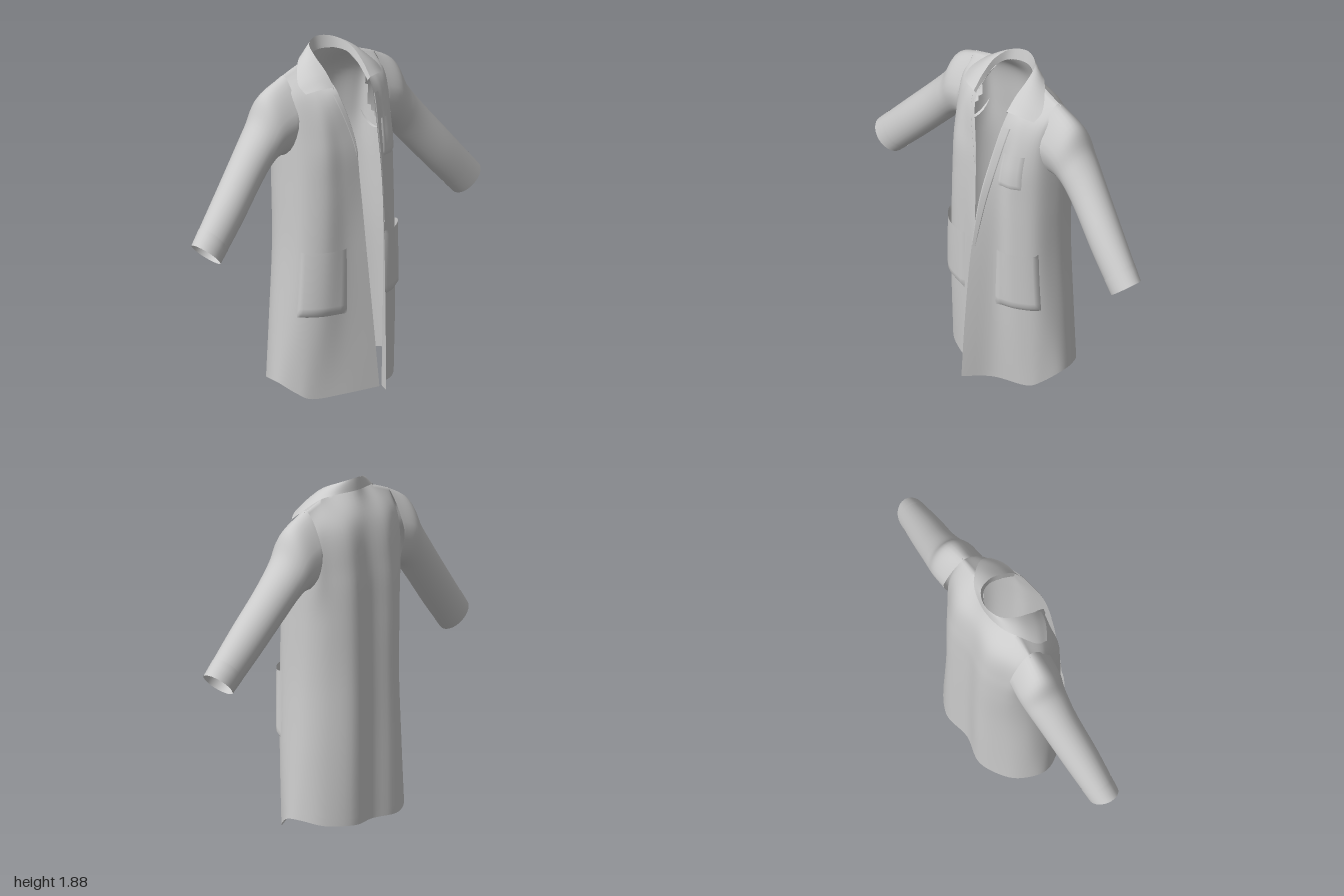
import * as THREE from 'three';
import { mergeVertices } from 'three/addons/utils/BufferGeometryUtils.js';

const V = (x, y, z) => new THREE.Vector3(x, y, z);
const curve = (pts) => new THREE.CatmullRomCurve3(pts, false, 'catmullrom', 0.5);
const cloth = new THREE.MeshStandardMaterial({ color: 0xcccccc, side: THREE.DoubleSide });

// Smooth sheet from a function f(s, t), s and t in 0..1, open where hole(s, t) is true
function sheet(name, n, m, f, hole = () => false) {
  const pos = [], idx = [];
  for (let j = 0; j <= m; j++)
    for (let i = 0; i <= n; i++) pos.push(...f(i / n, j / m).toArray());
  for (let j = 0; j < m; j++)
    for (let i = 0; i < n; i++) {
      if (hole((i + 0.5) / n, (j + 0.5) / m)) continue;
      const a = j * (n + 1) + i, b = a + n + 1;
      idx.push(a, b, a + 1, a + 1, b, b + 1);
    }
  let g = new THREE.BufferGeometry();
  g.setAttribute('position', new THREE.Float32BufferAttribute(pos, 3));
  g.setIndex(idx);
  g = mergeVertices(g, 1e-5);
  g.computeVertexNormals();
  const mesh = new THREE.Mesh(g, cloth);
  mesh.name = name;
  return mesh;
}

// Vertical cloth lines from hem to shoulder, [x, y, z], centre back to front
const centreBack = [[0, .05, -.29], [0, .4, -.29], [0, .8, -.29], [0, 1.15, -.285], [0, 1.4, -.275], [0, 1.64, -.24], [0, 1.81, -.17]];
const sideLines = [
  [[.16, .05, -.315], [.155, .4, -.315], [.15, .8, -.31], [.15, 1.15, -.305], [.15, 1.4, -.29], [.15, 1.64, -.245], [.13, 1.805, -.11]],
  [[.31, .06, -.235], [.29, .4, -.235], [.27, .8, -.235], [.27, 1.15, -.24], [.27, 1.4, -.235], [.27, 1.64, -.2], [.21, 1.785, -.11]],
  [[.38, .085, -.14], [.36, .4, -.14], [.335, .8, -.14], [.33, 1.15, -.155], [.335, 1.4, -.18], [.335, 1.61, -.165], [.325, 1.745, -.11]],
  [[.395, .085, -.05], [.37, .4, -.04], [.345, .8, -.04], [.34, 1.15, -.05], [.34, 1.4, -.06], [.335, 1.61, -.08], [.325, 1.745, -.11]],
  [[.345, .035, .035], [.335, .4, .055], [.32, .8, .065], [.315, 1.15, .06], [.315, 1.4, .045], [.325, 1.635, -.005], [.325, 1.745, -.11]],
  [[.28, .002, .09], [.25, .4, .125], [.235, .8, .14], [.23, 1.15, .14], [.23, 1.4, .125], [.235, 1.65, .045], [.21, 1.785, -.11]],
];
// The two front panels differ: the left one swings forward
const leftFront = [
  [[.125, .02, .18], [.135, .4, .18], [.145, .8, .175], [.15, 1.15, .17], [.16, 1.4, .145], [.175, 1.65, .075], [.13, 1.805, -.11]],
  [[.03, .04, .32], [.04, .4, .305], [.055, .8, .28], [.075, 1.15, .24], [.1, 1.4, .18], [.128, 1.65, .1], [.122, 1.75, 0]],
];
const rightFront = [
  [[.065, .03, .23], [.035, .4, .215], [0, .8, .2], [-.02, 1.15, .175], [-.04, 1.4, .155], [-.105, 1.65, .1], [-.122, 1.75, 0]],
  [[-.12, .015, .165], [-.11, .4, .165], [-.11, .8, .165], [-.12, 1.15, .16], [-.13, 1.4, .14], [-.17, 1.65, .075], [-.13, 1.805, -.11]],
];
const mirror = (line) => line.map(([x, y, z]) => [-x, y, z]);
const lines = [...rightFront, ...sideLines.map(mirror).reverse(), centreBack, ...sideLines, ...leftFront]
  .map((l) => curve(l.map((p) => V(...p))));

// Body surface: u = 0..16 from right front edge round the back to left edge, v = 0..6 upward
const row = (v) => curve(lines.map((l) => l.getPoint(THREE.MathUtils.clamp(v / 6, 0, 1))));
const surf = (u, v) => row(v).getPoint(THREE.MathUtils.clamp(u / 16, 0, 1));

// Patch lying on the body, raised by h along the outward normal
function patch(name, u0, u1, v0, v1, h, taper = 0) {
  const e = 0.02;
  return sheet(name, 14, 14, (s, t) => {
    const v = v0 + (v1 - v0) * t;
    const u = u0 + (u1 - u0) * s * (1 - taper * (1 - t));
    const p = surf(u, v);
    const du = surf(u + e, v).sub(surf(u - e, v));
    const dv = surf(u, v + e).sub(surf(u, v - e));
    const n = dv.cross(du).normalize();
    const edge = Math.min(1, Math.min(s, 1 - s, t) * 14);
    return p.addScaledVector(n, 0.003 + h * edge);
  });
}

function sleeve(side) {
  const g = new THREE.Group();
  g.name = side > 0 ? 'leftSleeve' : 'rightSleeve';
  // Upper edge, lower edge, and [depth centre, depth radius] of each ring
  const top = curve([[.315, 1.75], [.455, 1.67], [.525, 1.535], [.635, 1.4], [.81, 1.2], [.998, .985]].map(([x, y]) => V(x, y, 0)));
  const low = curve([[.325, 1.32], [.38, 1.32], [.445, 1.285], [.53, 1.195], [.69, 1.02], [.848, .855]].map(([x, y]) => V(x, y, 0)));
  const dep = curve([[-.1, .13], [-.105, .128], [-.104, .115], [-.092, .103], [-.062, .094], [-.035, .078]].map(([c, r]) => V(c, r, 0)));
  const ring = (a, t, k) => {
    const A = top.getPoint(t), B = low.getPoint(t), d = dep.getPoint(t);
    const c = A.clone().add(B).multiplyScalar(0.5);
    const p = c.clone().addScaledVector(A.sub(c), Math.cos(a) * k);
    // Pinched along the shoulder ridge, rounding out down the arm
    const pinch = 1 - 0.4 * Math.max(0, Math.cos(a)) * Math.max(0, 1 - 2.2 * t);
    return V(side * p.x, p.y, d.x + Math.sin(a) * d.y * k * pinch);
  };
  const wrap = (s) => (s === 1 ? 0 : s * Math.PI * 2 * side);
  g.add(sheet('sleeveTube', 28, 30, (s, t) => ring(wrap(s), t, 1)));
  // Hem band at the wrist, and its turned-in inside
  g.add(sheet('cuffBand', 28, 3, (s, t) => ring(wrap(s), 0.93 + 0.07 * t, 1.015)));
  g.add(sheet('cuffLining', 28, 3, (s, t) => ring(wrap(s), 0.93 + 0.07 * t, 0.96)));
  return g;
}

function collar() {
  const g = new THREE.Group();
  g.name = 'collar';
  // Half outlines from the front tip to the centre back
  const full = (h) => curve([
    ...h.map(([x, y, z]) => V(-x, y, z)),
    ...h.slice(0, -1).reverse().map((p) => V(...p)),
  ]);
  const seam = full([[.12, 1.67, .08], [.122, 1.735, .015], [.122, 1.785, -.06], [.09, 1.805, -.13], [0, 1.81, -.168]]);
  const fold = full([[.128, 1.69, .09], [.13, 1.765, .025], [.128, 1.828, -.06], [.09, 1.865, -.145], [0, 1.88, -.18]]);
  const fall = full([[.275, 1.67, .03], [.275, 1.715, -.03], [.21, 1.785, -.105], [.13, 1.81, -.16], [0, 1.812, -.185]]);
  g.add(sheet('collarStand', 40, 4, (s, t) => seam.getPoint(s).lerp(fold.getPoint(s), t)));
  g.add(sheet('collarFall', 40, 6, (s, t) => {
    const p = fold.getPoint(s).lerp(fall.getPoint(s), t);
    p.y += 0.01 * Math.sin(Math.PI * t);
    p.z += 0.012 * Math.sin(Math.PI * t) * Math.abs(2 * s - 1);
    return p;
  }));
  return g;
}

export function createModel() {
  const coat = new THREE.Group();
  coat.name = 'longCoat';

  // Body, open down the front and at the armholes
  const n = 80, m = 48;
  const rows = Array.from({ length: m + 1 }, (_, j) => row((6 * j) / m));
  const armhole = (s, t) => {
    const du = (Math.abs(16 * s - 8) - 3.9) / 0.85;
    const dv = Math.min(0, 6 * t - 5) / 1.15;
    return du * du + dv * dv < 1;
  };
  coat.add(sheet('coatBody', n, m, (s, t) => rows[Math.round(t * m)].getPoint(s), armhole));

  // Pockets
  coat.add(patch('leftHipPocket', 15, 12.8, 1.25, 2.15, 0.016));
  coat.add(patch('rightHipPocket', 1, 3.2, 1.15, 2.05, 0.016));
  coat.add(patch('chestPocket', 15.1, 13.6, 3.44, 4.26, 0.006));

  // Lapel facings, narrowing downward
  coat.add(patch('leftLapel', 16, 15.1, 2.2, 4.8, 0.003, 0.85));
  coat.add(patch('rightLapel', 0, 0.5, 3.6, 5, 0.003, 0.85));

  coat.add(collar(), sleeve(1), sleeve(-1));
  return coat;
}
